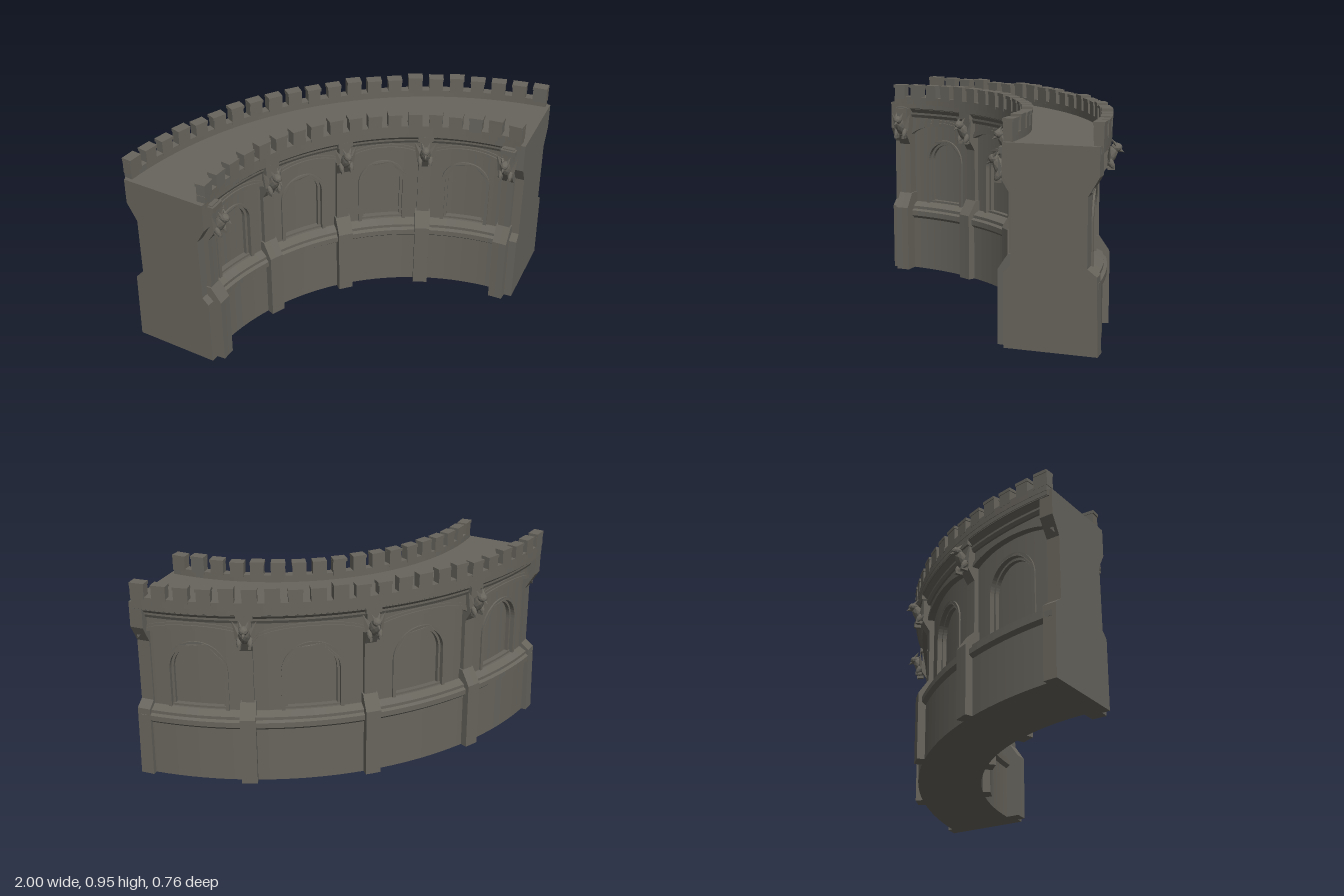
import * as THREE from 'three';
import { mergeGeometries } from 'three/addons/utils/BufferGeometryUtils.js';

const DEG = Math.PI / 180;
// Curved reference faces: cz = z of the curve's centre, R = radius, s = +1 hollow side, -1 round side
const FRONT = { cz: 1.02, R: 1.02, s: 1, end: 46.5, name: 'front' };
const BACK = { cz: 1.25, R: 1.54, s: -1, end: 39.3, name: 'back' };
const ENDS = { cz: 1.164, R: 1.2, s: 1 };

// Straight work (x along the wall, y up, z outward) wrapped on to a face.
function bend(geo, face, deg = 0, out = 0) {
  const g = geo.index ? geo.toNonIndexed() : geo;
  const p = g.attributes.position;
  for (let i = 0; i < p.count; i++) {
    const a = deg * DEG + face.s * p.getX(i) / face.R;
    const r = face.R - face.s * (p.getZ(i) + out);
    p.setXYZ(i, r * Math.sin(a), p.getY(i), face.cz - r * Math.cos(a));
  }
  g.computeVertexNormals();
  return g;
}

// Slab with the plan of the whole wall, each curved face moved outward by an offset.
function planSlab(front, back, y0, y1) {
  const q = Math.PI / 2, f = FRONT.end * DEG, b = BACK.end * DEG;
  const s = new THREE.Shape();
  s.absarc(0, -BACK.cz, BACK.R + back, q + b, q - b, true);
  s.absarc(0, -FRONT.cz, FRONT.R - front, q - f, q + f, false);
  const g = new THREE.ExtrudeGeometry(s, { depth: y1 - y0, bevelEnabled: false, curveSegments: 44 });
  return g.rotateX(-q).translate(0, y0, 0);
}

// Strip of masonry whose lower and upper edges may be curves of x.
function strip(x0, x1, lo, hi, z0, z1, n = 1) {
  const at = (f, x) => (typeof f === 'function' ? f(x) : f);
  const g = new THREE.BoxGeometry(1, 1, 1, n, 1, 1);
  const p = g.attributes.position;
  for (let i = 0; i < p.count; i++) {
    const x = x0 + (x1 - x0) * (p.getX(i) + 0.5);
    const y = p.getY(i) < 0 ? at(lo, x) : at(hi, x);
    p.setXYZ(i, x, y, p.getZ(i) < 0 ? z0 : z1);
  }
  return g;
}

// Side profile of [z, y] points run along x.
function profile(points, width, steps = 1) {
  const shape = new THREE.Shape(points.map(([z, y]) => new THREE.Vector2(z, y)));
  const g = new THREE.ExtrudeGeometry(shape, { depth: width, steps, bevelEnabled: false });
  return g.rotateY(-Math.PI / 2).translate(width / 2, 0, 0);
}

// Round-headed frame of outer half width w, band width t.
function archFrame(w, t, spring, z0, z1) {
  const s = new THREE.Shape();
  s.moveTo(-w, 0.33); s.lineTo(-w + t, 0.33); s.lineTo(-w + t, spring);
  s.absarc(0, spring, w - t, Math.PI, 0, true);
  s.lineTo(w - t, 0.33); s.lineTo(w, 0.33); s.lineTo(w, spring);
  s.absarc(0, spring, w, 0, Math.PI, false);
  const g = new THREE.ExtrudeGeometry(s, { depth: z1 - z0, bevelEnabled: false, curveSegments: 14 });
  return g.translate(0, 0, z0);
}

// Crouching winged beast leaning out from a pier head.
function gargoyleParts() {
  const blob = (sx, sy, sz, x, y, z, rx = 0) =>
    new THREE.IcosahedronGeometry(1, 1).scale(sx, sy, sz).rotateX(rx).translate(x, y, z);
  const parts = [
    blob(0.026, 0.052, 0.026, 0, 0.735, 0.036, 0.5),
    blob(0.021, 0.021, 0.025, 0, 0.77, 0.062),
    new THREE.ConeGeometry(0.016, 0.04, 5).rotateX(Math.PI / 2 + 0.5).translate(0, 0.757, 0.08),
  ];
  for (const m of [-1, 1]) {
    parts.push(
      new THREE.ConeGeometry(0.009, 0.032, 4).rotateX(-0.6).rotateZ(-m * 0.35).translate(m * 0.016, 0.793, 0.05),
      blob(0.012, 0.028, 0.014, m * 0.024, 0.705, 0.036, -0.5),
      new THREE.BoxGeometry(0.013, 0.014, 0.032).translate(m * 0.022, 0.683, 0.038),
      new THREE.ConeGeometry(0.026, 0.085, 4).scale(0.9, 1, 0.35).rotateZ(-m * 0.4).translate(m * 0.036, 0.76, 0.028),
    );
  }
  return parts;
}

export function createModel() {
  const root = new THREE.Group();
  root.name = 'curvedCastleWall';
  const stone = new THREE.MeshStandardMaterial({ color: 0x68655d });
  stone.name = 'weatheredStone';
  const addMesh = (name, geo, parent) => {
    const mesh = new THREE.Mesh(geo, stone);
    mesh.name = name;
    parent.add(mesh);
  };
  const add = (name, parts, face, deg, out, parent) =>
    addMesh(name, mergeGeometries(parts.map((g) => bend(g, face, deg, out))), parent);
  let seed = 7;
  const rand = () => ((seed = (seed * 16807) % 2147483647) / 2147483647) - 0.5;

  // Solid heart of the wall and the walkway on top
  addMesh('wallCore', planSlab(-0.065, -0.065, 0, 0.84), root);
  addMesh('walkway', planSlab(0.025, 0.028, 0.82, 0.85), root);

  // End piers
  const endProfile = [[-0.297, 0], [0.1, 0], [0.1, 0.32], [0.07, 0.35], [0.066, 0.65], [0.105, 0.72],
    [0.105, 0.85], [-0.297, 0.85], [-0.297, 0.73], [-0.25, 0.65], [-0.25, 0.36], [-0.29, 0.33]];
  for (const m of [-1, 1]) {
    add(m > 0 ? 'leftEndPier' : 'rightEndPier', [profile(endProfile, 0.05)], ENDS, m * 40.7, 0, root);
  }

  const sides = [
    { face: FRONT, step: 21.3, piers: [-43.4, -21.3, 0, 21.3, 43.4], niche: 0.105, spring: 0.558, merlons: 18 },
    { face: BACK, step: 19.6, piers: [-20, 0, 20.8], niche: 0.14, spring: 0.525, merlons: 22 },
  ];
  for (const { face, step, piers, niche, spring, merlons } of sides) {
    const group = new THREE.Group();
    group.name = face.name + 'Face';
    root.add(group);
    const full = face.end * DEG * face.R - 0.005;

    // Plinth, sill moulding and cornice running the whole length
    add('plinth', [strip(-full, full, 0, 0.27, -0.07, 0, 40)], face, 0, 0, group);
    add('sillMoulding', [profile([[-0.07, 0.26], [0, 0.26], [0.018, 0.275], [0.018, 0.3], [0.004, 0.308],
      [0.004, 0.322], [-0.03, 0.34], [-0.07, 0.34]], full * 2, 40)], face, 0, 0, group);
    add('cornice', [profile([[-0.07, 0.775], [-0.004, 0.775], [0.004, 0.79], [0.004, 0.8], [0.022, 0.82],
      [0.03, 0.825], [0.03, 0.85], [-0.07, 0.85]], full * 2, 40)], face, 0, 0, group);

    // Arched bays
    const h = step * DEG * face.R / 2;
    const hood = (x) => 0.665 + 0.072 * Math.sqrt(Math.max(0, 1 - (x / h) ** 2));
    const head = (x) => spring + Math.sqrt(Math.max(0, niche * niche - x * x));
    for (const k of [-1.5, -0.5, 0.5, 1.5]) {
      add('bayWall', [
        strip(-h, -niche, 0.33, 0.76, -0.07, -0.034, 4),
        strip(niche, h, 0.33, 0.76, -0.07, -0.034, 4),
        strip(-niche, niche, head, 0.76, -0.07, -0.034, 20),
      ], face, k * step, 0, group);
      add('nicheFrame', [
        archFrame(niche + 0.004, 0.016, spring, -0.068, -0.026),
        archFrame(niche - 0.01, 0.014, spring, -0.068, -0.047),
        strip(-niche, niche, 0.33, 0.35, -0.068, -0.04, 6),
      ], face, k * step, 0, group);
      add('hoodArch', [
        strip(-h, h, hood, 0.79, -0.07, -0.014, 22),
        strip(-h, h, hood, (x) => hood(x) + 0.018, -0.05, -0.003, 22),
        strip(-h, h, (x) => hood(x) + 0.018, (x) => hood(x) + 0.03, -0.05, -0.009, 22),
      ], face, k * step, 0, group);
    }

    // Buttresses, each with a gargoyle at its head
    for (const deg of piers) {
      const out = Math.abs(deg) > 40 ? 0.03 : 0;
      add('buttress', [
        profile([[-0.1, 0], [0.035, 0], [0.035, 0.32], [-0.012, 0.39], [-0.1, 0.39]], 0.07, 2),
        profile([[-0.1, 0.3], [-0.012, 0.3], [-0.012, 0.64], [0.02, 0.69], [0.02, 0.83], [-0.1, 0.83]], 0.056, 2),
        strip(-0.036, 0.036, 0.8, 0.825, -0.08, 0.03),
      ], face, deg, out, group);
      add('gargoyle', gargoyleParts(), face, deg, out, group);
    }

    // Parapet with slightly uneven merlons
    add('parapet', [strip(-full, full, 0.845, 0.882, -0.008, 0.032, 44)], face, 0, 0, group);
    const pitch = 2 * full / (merlons - 0.35);
    const blocks = [];
    for (let i = 0; i < merlons; i++) {
      const x = -full + pitch * (i + 0.325);
      const w = pitch * 0.325;
      const top = 0.945 + rand() * 0.012;
      blocks.push(strip(x - w + rand() * 0.006, x + w + rand() * 0.006, 0.87, top - 0.014, -0.009, 0.033));
      blocks.push(strip(x - w - 0.002, x + w + 0.002, top - 0.014, top, -0.012, 0.036));
    }
    add('merlons', blocks, face, 0, 0, group);
  }
  return root;
}
